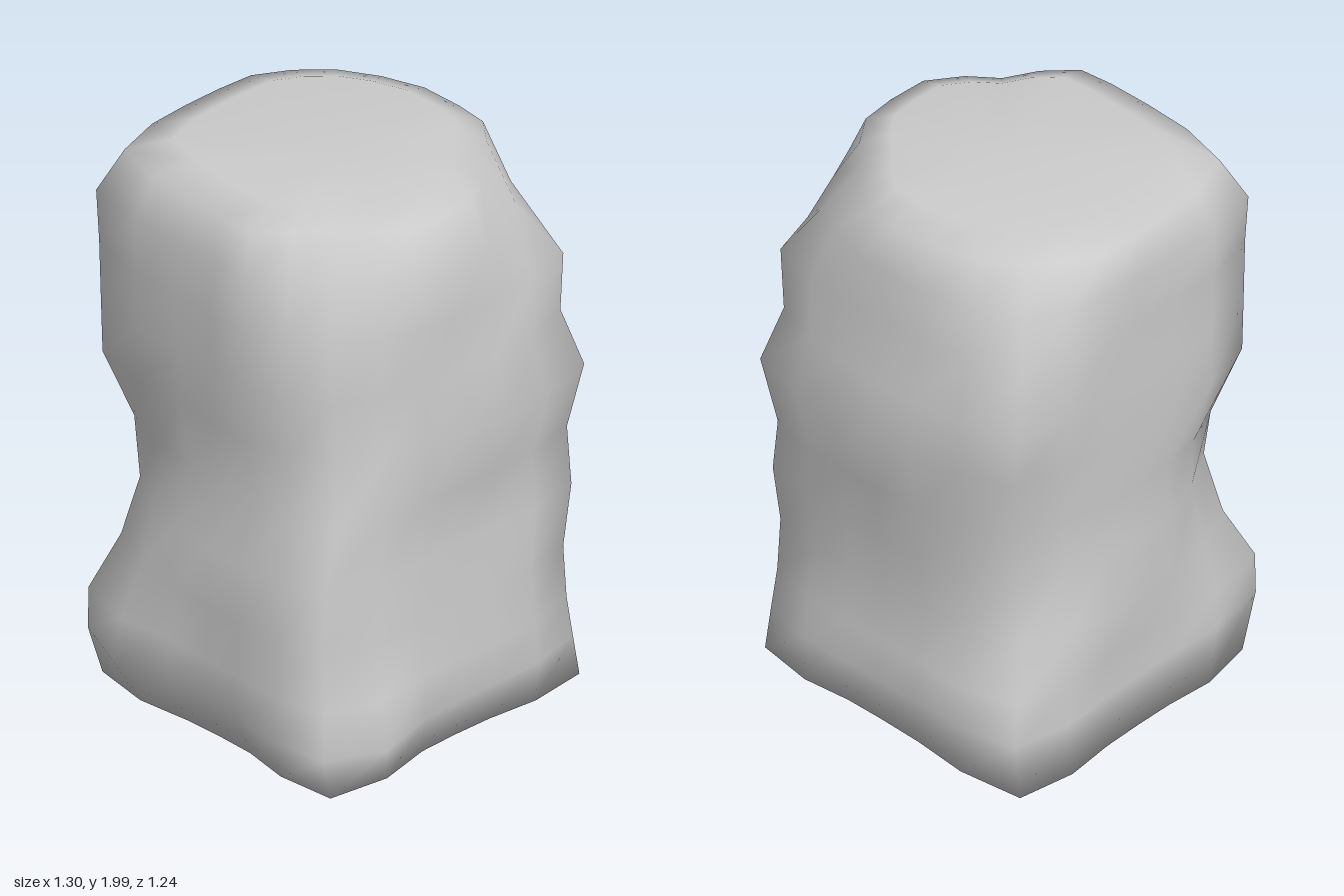
import * as THREE from 'three';

const SEG = 24;
const SQUARENESS = 8;

// Boulder cross-sections: y, then face positions (left, right, back, front),
// then diagonal reach of the corners (+x+z, -x+z, -x-z, +x-z)
const RINGS = [
  [0.03, -0.53, 0.55, -0.60, 0.51, 0.74, 0.76, 0.77, 0.79],
  [0.20, -0.60, 0.57, -0.60, 0.55, 0.72, 0.78, 0.81, 0.78],
  [0.35, -0.60, 0.56, -0.60, 0.55, 0.70, 0.75, 0.81, 0.77],
  [0.54, -0.59, 0.53, -0.62, 0.53, 0.69, 0.73, 0.71, 0.675],
  [0.76, -0.59, 0.56, -0.60, 0.53, 0.715, 0.71, 0.65, 0.67],
  [0.96, -0.52, 0.57, -0.60, 0.51, 0.70, 0.67, 0.67, 0.67],
  [1.20, -0.56, 0.59, -0.62, 0.55, 0.755, 0.61, 0.77, 0.73],
  [1.40, -0.56, 0.57, -0.61, 0.53, 0.68, 0.605, 0.775, 0.755],
  [1.62, -0.58, 0.55, -0.615, 0.54, 0.69, 0.59, 0.78, 0.72],
  [1.80, -0.56, 0.53, -0.61, 0.52, 0.54, 0.51, 0.79, 0.64],
  [1.95, -0.53, 0.49, -0.59, 0.46, 0.43, 0.42, 0.70, 0.55],
];

// Local swellings: centre x, y, z, radius, height
const BUMPS = [
  [-0.38, 0.18, 0.56, 0.2, 0.07],
  [-0.60, 0.22, -0.36, 0.2, 0.05],
  [0.59, 1.23, -0.03, 0.25, 0.055],
  [0.14, 1.18, 0.55, 0.25, 0.05],
];

// Point on a rounded square whose corners are pulled in or out to their reach
function ringPoint([y, x0, x1, z0, z1, ...corners], i, scale) {
  const a = (i / SEG) * Math.PI * 2;
  const c = Math.cos(a), s = Math.sin(a);
  const n = SQUARENESS;
  const halfX = c > 0 ? x1 : -x0;
  const halfZ = s > 0 ? z1 : -z0;
  const r = Math.pow(Math.abs(c) ** n + Math.abs(s) ** n, -1 / n);
  const reach = corners[Math.floor((4 * i) / SEG)];
  const plain = Math.pow(2, -1 / n) * (halfX + halfZ) / Math.SQRT2;
  const pull = 1 + (reach / plain - 1) * Math.sin(2 * a) ** 4;
  const p = new THREE.Vector3(c * halfX, 0, s * halfZ).multiplyScalar(r * pull * scale);
  p.y = y;
  const out = new THREE.Vector3(p.x, 0, p.z).normalize();
  let swell = 0;
  for (const [bx, by, bz, radius, height] of BUMPS) {
    const d = Math.hypot(p.x - bx, y - by, p.z - bz) / radius;
    swell += height * Math.exp(-2 * d * d);
  }
  return p.addScaledVector(out, swell).toArray();
}

function rockGeometry() {
  const pos = [], index = [];
  const addRing = (row, scale) => {
    for (let i = 0; i < SEG; i++) pos.push(...ringPoint(row, i, scale));
  };

  // Walls, then the crown
  RINGS.forEach((row) => addRing(row, 1));
  addRing([2, ...RINGS[RINGS.length - 1].slice(1)], 0.78);

  // The foot leans slightly down toward the back
  for (let i = 0; i < SEG; i++) pos[3 * i + 1] += 0.04 * pos[3 * i + 2];

  const count = RINGS.length + 1;
  for (let k = 0; k < count - 1; k++) {
    for (let i = 0; i < SEG; i++) {
      const a = k * SEG + i, b = k * SEG + ((i + 1) % SEG);
      index.push(a, a + SEG, b, b, a + SEG, b + SEG);
    }
  }

  // Close both ends
  const bottom = count * SEG, top = bottom + 1, last = (count - 1) * SEG;
  pos.push(0, 0.01, 0, 0, 1.98, 0);
  for (let i = 0; i < SEG; i++) {
    const j = (i + 1) % SEG;
    index.push(bottom, i, j, top, last + j, last + i);
  }

  const geo = new THREE.BufferGeometry();
  geo.setAttribute('position', new THREE.Float32BufferAttribute(pos, 3));
  geo.setIndex(index);
  geo.computeVertexNormals();
  return geo;
}

export function createModel() {
  const group = new THREE.Group();
  group.name = 'rock';
  const boulder = new THREE.Mesh(
    rockGeometry(),
    new THREE.MeshStandardMaterial({ color: 0xcccccc }),
  );
  boulder.name = 'boulder';
  group.add(boulder);
  return group;
}
